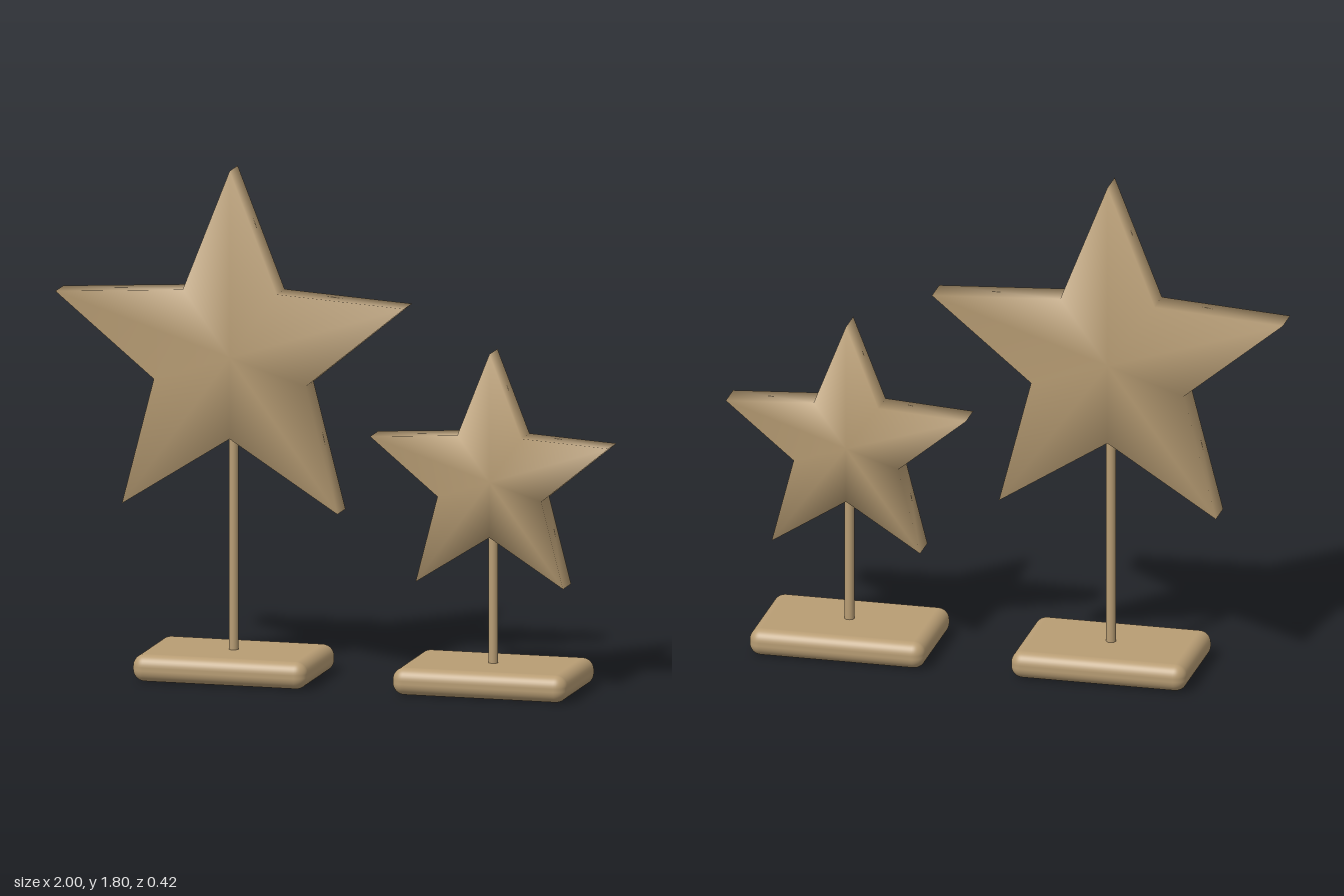
import * as THREE from 'three';
import { RoundedBoxGeometry } from 'three/addons/geometries/RoundedBoxGeometry.js';

const tan = new THREE.MeshStandardMaterial({ color: 0xb89d74 });
tan.name = 'tan';

// Five-pointed slab with shared vertices, so the shading is smooth over the rim
function starGeometry(outer, inner, depth) {
  const pos = [0, 0, depth / 2, 0, 0, -depth / 2];
  const index = [];
  for (let i = 0; i < 10; i++) {
    const a = Math.PI / 2 + (i * Math.PI) / 5;
    const r = i % 2 ? inner : outer;
    const x = r * Math.cos(a), y = r * Math.sin(a);
    pos.push(x, y, depth / 2, x, y, -depth / 2);
    const f = 2 + 2 * i, b = f + 1;
    const f2 = 2 + 2 * ((i + 1) % 10), b2 = f2 + 1;
    index.push(0, f, f2, 1, b2, b, f, b, b2, f, b2, f2);
  }
  const geo = new THREE.BufferGeometry();
  geo.setAttribute('position', new THREE.Float32BufferAttribute(pos, 3));
  geo.setIndex(index);
  geo.computeVertexNormals();
  return geo;
}

function addMesh(group, name, geometry, y) {
  const mesh = new THREE.Mesh(geometry, tan);
  mesh.name = name;
  mesh.position.y = y;
  group.add(mesh);
}

// One star on a post and a rounded base
function starStand(name, x, centreY, outer) {
  const stand = new THREE.Group();
  stand.name = name;
  stand.position.x = x;
  const inner = outer * 0.435;
  const postBottom = 0.05, postTop = centreY - inner + 0.03;
  addMesh(stand, 'base', new RoundedBoxGeometry(0.63, 0.096, 0.42, 5, 0.042), 0.048);
  addMesh(stand, 'post',
    new THREE.CylinderGeometry(0.017, 0.017, postTop - postBottom, 20),
    (postTop + postBottom) / 2);
  addMesh(stand, 'star', starGeometry(outer, inner, 0.106), centreY);
  return stand;
}

export function createModel() {
  const model = new THREE.Group();
  model.name = 'starStands';
  model.add(
    starStand('largeStarStand', -0.37, 1.138, 0.662),
    starStand('smallStarStand', 0.568, 0.745, 0.453)
  );
  return model;
}
